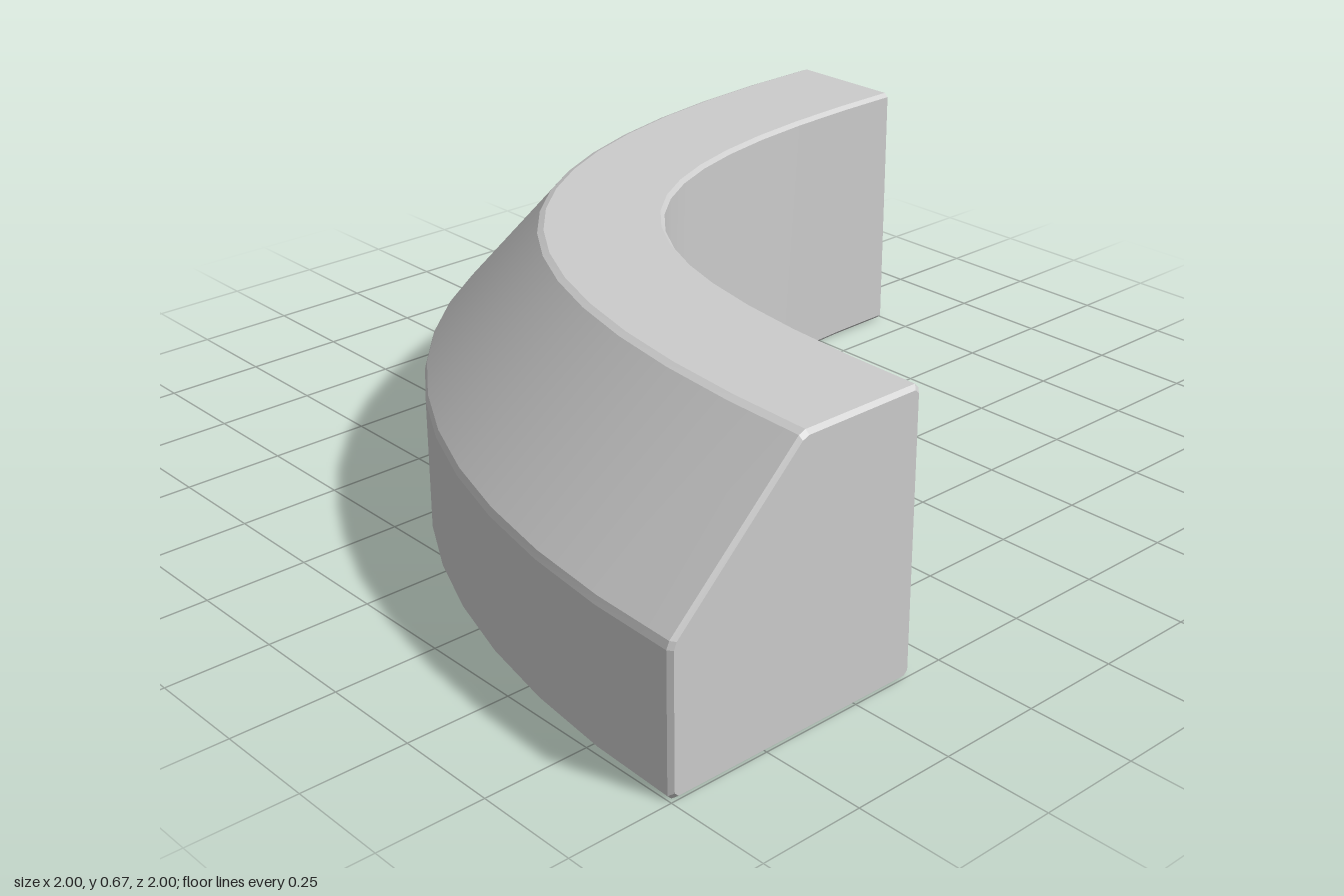
import * as THREE from 'three';
import { toCreasedNormals } from 'three/addons/utils/BufferGeometryUtils.js';

const SEGMENTS = 16;
const BEVEL = 0.01;

// Cross-section as [distance in from the outer wall, height], with a sloped outer shoulder
const corners = [[0, 0], [0, 0.34], [0.34, 0.665], [0.66, 0.665], [0.66, 0]]
  .map(([d, y]) => new THREE.Vector2(d, y));

// Each corner becomes two points, a small bevel
function bevelledProfile() {
  const n = corners.length;
  return corners.flatMap((p, i) => [corners[(i + n - 1) % n], corners[(i + 1) % n]].map((q) =>
    p.clone().add(q.clone().sub(p).setLength(BEVEL))));
}

// Quarter bend around (1, 1); the inner side is squarer than the outer
function bendPoint(d, y, t) {
  const r = 2 - d;
  const k = THREE.MathUtils.lerp(0.619, 0.787, d / 0.66);
  const s = 1 - t;
  const across = 3 * s * s * t * k + 3 * s * t * t + t * t * t;
  const along = 3 * t * t * s * k + 3 * t * s * s + s * s * s;
  return [1 - r * across, y, 1 - r * along];
}

function bendGeometry() {
  const profile = bevelledProfile();
  const n = profile.length;
  const centre = new THREE.Vector2(0.35, 0.32);
  // The end faces are slightly inset, which bevels their rims
  const endFace = profile.map((p) => p.clone().lerp(centre, 0.025));

  const rings = [[0, endFace], [0.003, profile]];
  for (let i = 1; i < SEGMENTS; i++) rings.push([i / SEGMENTS, profile]);
  rings.push([0.997, profile], [1, endFace]);

  const positions = [];
  const index = [];
  for (const [t, section] of rings)
    for (const p of section) positions.push(...bendPoint(p.x, p.y, t));

  // Walls
  for (let i = 0; i < rings.length - 1; i++) {
    for (let j = 0; j < n; j++) {
      const a = i * n + j, b = i * n + (j + 1) % n;
      index.push(a, a + n, b + n, a, b + n, b);
    }
  }
  // End faces
  const last = (rings.length - 1) * n;
  for (let j = 1; j < n - 1; j++) {
    index.push(0, j, j + 1);
    index.push(last, last + j + 1, last + j);
  }

  const geometry = new THREE.BufferGeometry();
  geometry.setAttribute('position', new THREE.Float32BufferAttribute(positions, 3));
  geometry.setIndex(index);
  return toCreasedNormals(geometry, 0.3);
}

export function createModel() {
  const group = new THREE.Group();
  group.name = 'curvedKerb';
  const bend = new THREE.Mesh(bendGeometry(), new THREE.MeshStandardMaterial({ color: 0xcccccc }));
  bend.name = 'bend';
  group.add(bend);
  return group;
}
